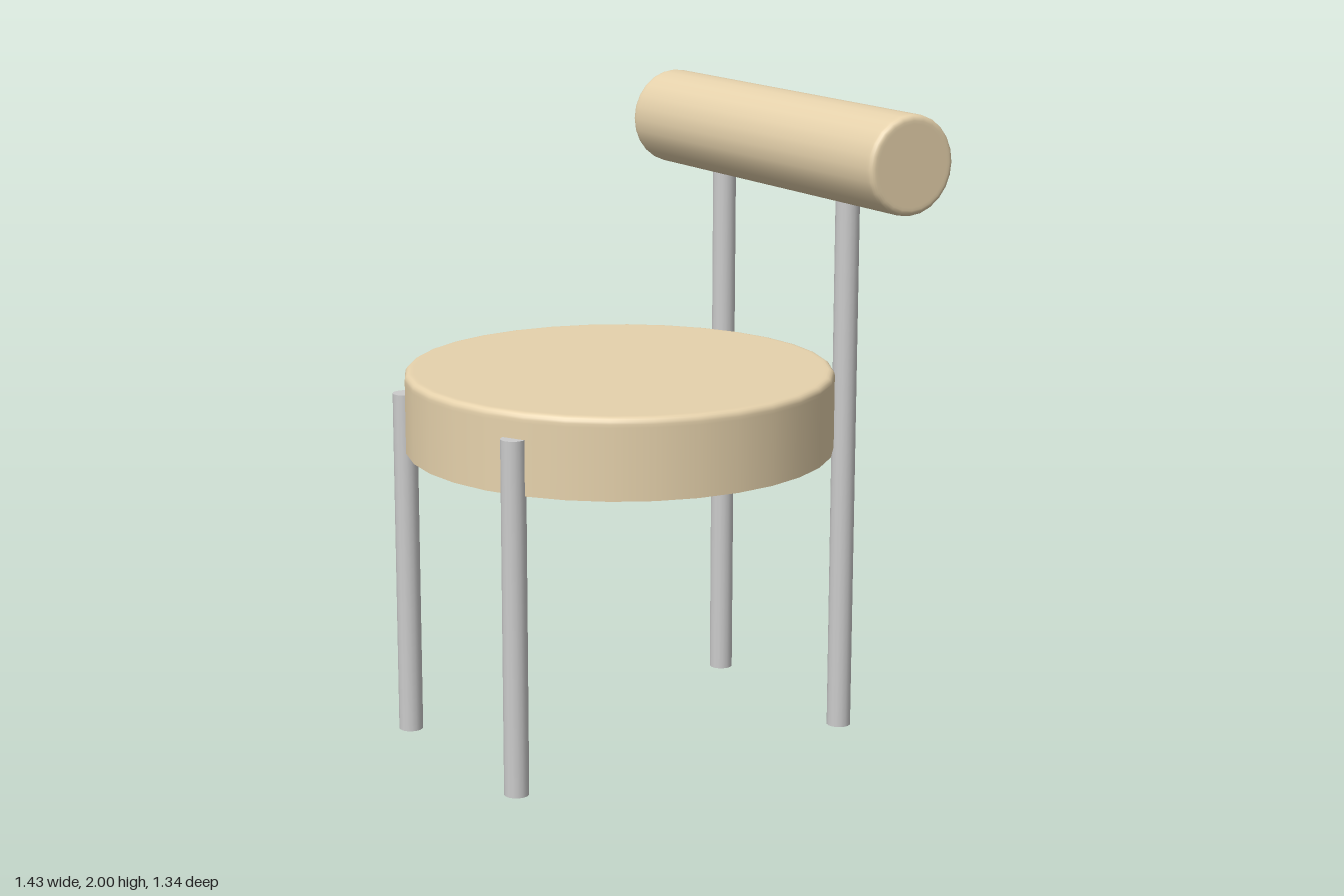
import * as THREE from 'three';

const fabric = new THREE.MeshStandardMaterial({ color: 0xe6d2ac, side: THREE.DoubleSide });
const metal = new THREE.MeshStandardMaterial({ color: 0xcccccc });

// Quarter-round edge from the side wall (radius r) to the cap at height y; dir = 1 top, -1 bottom
function roundedEdge(r, y, bevel, dir) {
  const pts = [];
  for (let i = 0; i <= 4; i++) {
    const a = (i / 4) * Math.PI / 2;
    pts.push(new THREE.Vector2(r - bevel + bevel * Math.cos(a), y + dir * (bevel * Math.sin(a) - bevel)));
  }
  // Support ring and centre keep the cap shading flat
  pts.push(new THREE.Vector2(r - bevel * 1.5, y), new THREE.Vector2(0, y));
  return dir > 0 ? pts : pts.reverse();
}

function addMesh(group, name, geometry, material, x, y, z) {
  const mesh = new THREE.Mesh(geometry, material);
  mesh.name = name;
  mesh.position.set(x, y, z);
  group.add(mesh);
  return mesh;
}

export function createModel() {
  const model = new THREE.Group();
  model.name = 'chair';

  // Round seat cushion: soft top edge, open underneath
  const seatProfile = [
    new THREE.Vector2(0.668, 0),
    new THREE.Vector2(0.668, 0.22),
    ...roundedEdge(0.668, 0.25, 0.02, 1),
  ];
  addMesh(model, 'seat', new THREE.LatheGeometry(seatProfile, 32), fabric, -0.05, 0.93, 0);

  // Cylindrical backrest bolster lying along z
  const half = 0.668, r = 0.153;
  const bolsterProfile = [
    ...roundedEdge(r, -half, 0.018, -1),
    new THREE.Vector2(r, -half + 0.03),
    new THREE.Vector2(r, half - 0.03),
    ...roundedEdge(r, half, 0.018, 1),
  ];
  const bolster = addMesh(model, 'backrest', new THREE.LatheGeometry(bolsterProfile, 24), fabric, 0.563, 1.847, 0);
  bolster.rotation.x = Math.PI / 2;

  // Two short legs beside the seat, two tall ones carrying the backrest
  for (const z of [-0.343, 0.343]) {
    for (const [name, x, h] of [['shortLeg', -0.623, 1.1], ['tallLeg', 0.563, 1.72]]) {
      addMesh(model, name, new THREE.CylinderGeometry(0.038, 0.038, h, 16), metal, x, h / 2, z);
    }
  }
  return model;
}
